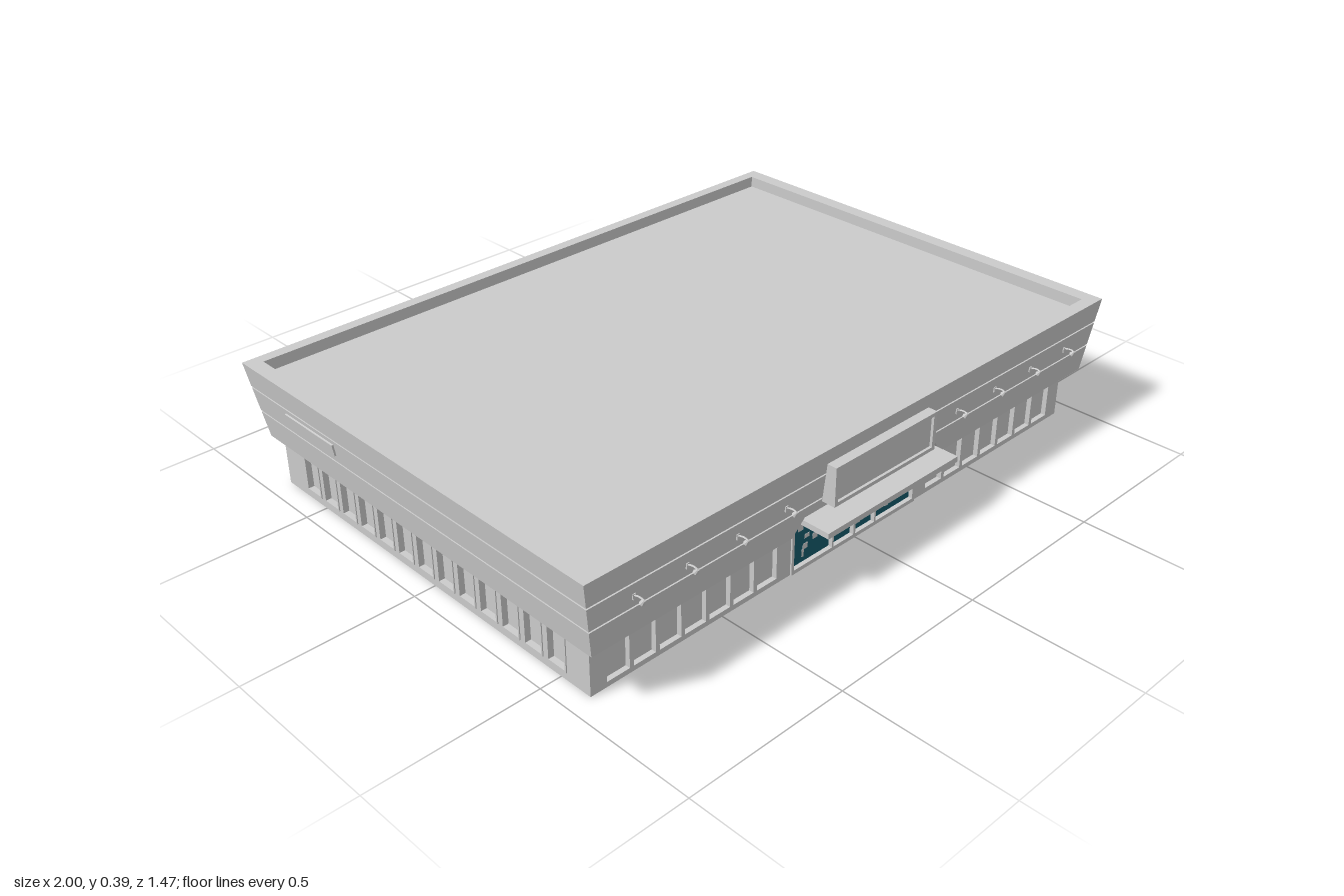
import * as THREE from 'three';

const grey = new THREE.MeshStandardMaterial({ color: 0xcccccc, flatShading: true });
const teal = new THREE.MeshStandardMaterial({ color: 0x145a6b });

export function createModel() {
  const model = new THREE.Group();

  const add = (name, geometry, x = 0, y = 0, z = 0, material = grey, parent = model) => {
    const mesh = new THREE.Mesh(geometry, material);
    mesh.name = name;
    mesh.position.set(x, y, z);
    parent.add(mesh);
    return mesh;
  };
  // box given by its lower and upper corners
  const box = (name, x0, x1, y0, y1, z0, z1, material) =>
    add(name, new THREE.BoxGeometry(x1 - x0, y1 - y0, z1 - z0), (x0 + x1) / 2, (y0 + y1) / 2, (z0 + z1) / 2, material);

  const rectPath = (x0, x1, y0, y1, Type = THREE.Path) =>
    new Type([[x0, y0], [x1, y0], [x1, y1], [x0, y1]].map(p => new THREE.Vector2(...p)));
  // upright plate with rectangular openings, extruded toward +z
  const plate = (x0, x1, y0, y1, depth, holes) => {
    const shape = rectPath(x0, x1, y0, y1, THREE.Shape);
    shape.holes = holes.map(h => rectPath(...h));
    return new THREE.ExtrudeGeometry(shape, { depth, bevelEnabled: false });
  };

  // closed solid through plan outlines [x, z] at successive heights
  const loft = rings => {
    const pos = [];
    const put = (r, i) => {
      const p = r.plan[i % r.plan.length];
      pos.push(p[0], r.y, p[1]);
    };
    for (let k = 0; k < rings.length - 1; k++) {
      const a = rings[k], b = rings[k + 1];
      for (let i = 0; i < a.plan.length; i++) {
        put(a, i); put(a, i + 1); put(b, i + 1);
        put(a, i); put(b, i + 1); put(b, i);
      }
    }
    const cap = (r, up) => {
      const pts = r.plan.map(p => new THREE.Vector2(p[0], -p[1]));
      for (const [a, b, c] of THREE.ShapeUtils.triangulateShape(pts, [])) {
        put(r, a); put(r, up ? b : c); put(r, up ? c : b);
      }
    };
    cap(rings[0], false);
    cap(rings[rings.length - 1], true);
    const g = new THREE.BufferGeometry();
    g.setAttribute('position', new THREE.Float32BufferAttribute(pos, 3));
    g.computeVertexNormals();
    return g;
  };

  // building core and walls
  box('core', -0.92, 0.92, 0, 0.35, -0.605, 0.59);
  const frontHoles = [[-0.25, 0.25, 0.004, 0.155]];
  for (const s of [-1, 1]) {
    for (let i = 0; i < 7; i++) {
      const c = s * (0.34 + i * 0.0845);
      frontHoles.push([c - 0.036, c + 0.036, 0.015, 0.14]);
    }
  }
  add('frontWall', plate(-0.934, 0.934, 0, 0.21, 0.015, frontHoles), 0, 0, 0.59);

  for (const s of [-1, 1]) {
    const holes = [], frames = [];
    for (let i = 0; i < 13; i++) {
      const u = -s * (0.487 - i * 0.0866 + 0.04);
      holes.push([u - 0.033, u + 0.033, 0.025, 0.14]);
      frames.push(u);
    }
    const wall = add('sideWall', plate(-0.645, 0.645, 0, 0.21, 0.015, holes), s * 0.92, 0, -0.04);
    wall.rotation.y = s * Math.PI / 2;
    for (const u of frames) {
      add('sideWindowFrame', plate(u - 0.035, u + 0.035, 0.023, 0.142, 0.018,
        [[u - 0.030, u + 0.030, 0.028, 0.137]]), 0, 0, 0, grey, wall);
    }
  }

  // rear wall with a wide loading bay and two service doors
  const bays = [[-0.66, -0.46, 0.004, 0.25], [-0.245, 0.245, 0.004, 0.25], [0.46, 0.66, 0.004, 0.25]];
  add('rearWall', plate(-0.93, 0.93, 0, 0.32, 0.08, bays), 0, 0, -0.605).rotation.y = Math.PI;

  // flared fascia: wraps front and sides, steps up along the rear
  const edge = (y, inset = 0) => {
    const t = (y - 0.16) / 0.23;
    return { X: 0.965 + 0.035 * t - inset, f: 0.65 + 0.025 * t - inset, b: -0.7 - 0.035 * t };
  };
  const wrap = (y, inset = 0, notch = 0) => {
    const { X, f, b } = edge(y, inset);
    const front = notch ? [[-notch, f], [-notch, 0.6], [notch, 0.6], [notch, f]] : [];
    return { y, plan: [[-X, f], ...front, [X, f], [X, b], [0.88, b], [0.88, -0.6], [-0.88, -0.6], [-0.88, b], [-X, b]] };
  };
  const full = (y, inset = 0) => {
    const { X, f, b } = edge(y, inset);
    return { y, plan: [[-X, f], [X, f], [X, b], [-X, b]] };
  };
  const inner = y => ({ y, plan: [[-0.955, 0.635], [0.955, 0.635], [0.955, -0.7], [-0.955, -0.7]] });
  const g = 0.007;
  add('lowerFascia', loft([wrap(0.16, 0, 0.3), wrap(0.208, 0, 0.26)]));
  add('middleFascia', loft([wrap(0.208), wrap(0.238), wrap(0.238, g), wrap(0.243, g), wrap(0.243), wrap(0.31)]));
  add('parapetAndRoof', loft([full(0.31), full(0.313), full(0.313, g), full(0.318, g), full(0.318),
    full(0.39), inner(0.39), inner(0.355)]));

  // entrance: glazing, posters, mullions and canopy
  const panes = [[-0.243, -0.094], [-0.088, -0.008], [0, 0.078], [0.084, 0.241]];
  let seed = 7;
  const rand = () => (seed = (seed * 16807) % 2147483647) / 2147483647;
  for (const [a, b] of panes) {
    box('glassPane', a, b, 0.012, 0.148, 0.588, 0.597, teal);
    const n = b - a > 0.1 ? 6 : 4;
    for (let i = 0; i < n; i++) {
      const w = 0.008 + rand() * 0.014, h = 0.008 + rand() * 0.018;
      const x = a + 0.012 + (b - a - 0.045) * rand();
      const y = 0.025 + (i + rand() * 0.6) * 0.1 / n;
      box('poster', x, x + w, y, y + h, 0.596, 0.598);
    }
  }
  add('entranceFrame', plate(-0.252, 0.252, 0, 0.157, 0.02,
    panes.map(([a, b]) => [a, b, 0.012, 0.148])), 0, 0, 0.59);
  box('canopy', -0.26, 0.26, 0.18, 0.197, 0.6, 0.735);

  // blank sign board over the entrance
  box('signBoard', -0.19, 0.19, 0.24, 0.336, 0.64, 0.692);
  add('signFrame', plate(-0.2, 0.2, 0.23, 0.346, 0.05, [[-0.188, 0.188, 0.241, 0.335]]), 0, 0, 0.65);

  // blank name plates on the sides and rear
  const tilt = Math.atan(0.035 / 0.23);
  for (const s of [-1, 1]) {
    add('sidePlate', new THREE.BoxGeometry(0.008, 0.035, 0.225), s * 0.985, 0.283, -0.443).rotation.z = -s * tilt;
  }
  add('rearPlate', new THREE.BoxGeometry(0.225, 0.035, 0.008), 0, 0.348, -0.73).rotation.x = -tilt;

  // gooseneck lamps along the front fascia
  const lampArm = new THREE.TubeGeometry(new THREE.QuadraticBezierCurve3(
    new THREE.Vector3(0, 0, -0.005), new THREE.Vector3(0, 0.012, 0.02), new THREE.Vector3(0, 0.006, 0.032)), 6, 0.0025, 6);
  for (const s of [-1, 1]) {
    for (const x of [0.34, 0.51, 0.677, 0.845]) {
      const lamp = new THREE.Group();
      lamp.name = 'wallLamp';
      lamp.position.set(s * x, 0.275, 0.663);
      add('lampArm', lampArm, 0, 0, 0, grey, lamp);
      add('lampMount', new THREE.BoxGeometry(0.009, 0.016, 0.006), 0, 0, 0, grey, lamp);
      add('lampHead', new THREE.CylinderGeometry(0.003, 0.008, 0.014, 8), 0, 0.001, 0.032, grey, lamp).rotation.x = 0.6;
      model.add(lamp);
    }
  }
  return model;
}
